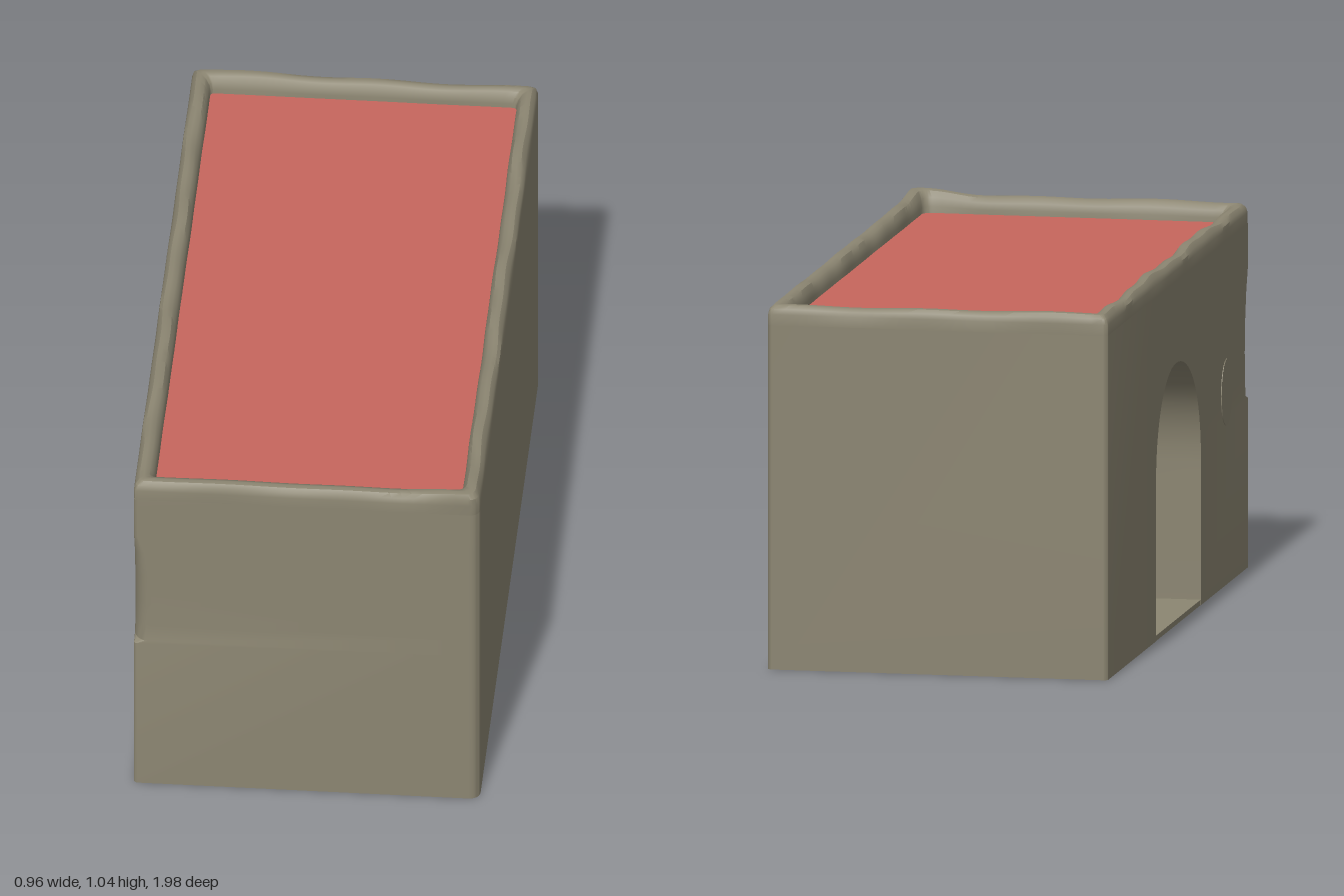
import * as THREE from 'three';
import { toCreasedNormals } from 'three/addons/utils/BufferGeometryUtils.js';

const X = 0.48, ZF = 0.985, ZB = 0.99, TOP = 0.965, DOOR0 = -0.35, DOOR1 = 0.36;

// Skin between closed rings of [x, y, z], optionally capped at both ends
function loft(rings, capped) {
  const n = rings[0].length, pos = rings.flat(2), idx = [];
  for (let i = 0; i < rings.length - 1; i++) {
    for (let j = 0; j < n; j++) {
      const a = i * n + j, b = i * n + (j + 1) % n;
      idx.push(a, b, b + n, a, b + n, a + n);
    }
  }
  if (capped) {
    const t = (rings.length - 1) * n;
    for (let j = 1; j < n - 1; j++) idx.push(0, j + 1, j, t, t + j, t + j + 1);
  }
  const g = new THREE.BufferGeometry();
  g.setAttribute('position', new THREE.Float32BufferAttribute(pos, 3));
  g.setIndex(idx);
  return toCreasedNormals(g, 0.6);
}

// Rounded plan corner; quarter 0 = back +x, 1 = back -x, 2 = front -x, 3 = front +x
function corner(quarter, rx, rz = rx) {
  const sx = quarter === 0 || quarter === 3 ? 1 : -1, front = quarter > 1;
  const cx = sx * (X - rx), cz = front ? ZF - rz : rz - ZB, pts = [];
  for (let k = 0; k <= 6; k++) {
    const a = (quarter + k / 6) * Math.PI / 2;
    pts.push([cx + rx * Math.cos(a), cz - rz * Math.sin(a)]);
  }
  return pts;
}

const lift = (pts, y) => pts.map(([x, z]) => [x, y, z]);

// Points along a straight side, ends excluded
function side(a, b, n) {
  return Array.from({ length: n - 1 }, (_, i) => {
    const t = (i + 1) / n;
    return [a[0] + (b[0] - a[0]) * t, a[1] + (b[1] - a[1]) * t];
  });
}

export function createModel() {
  const group = new THREE.Group();
  const stone = new THREE.MeshStandardMaterial({ color: 0x8c8672 });
  stone.name = 'olive stone';
  const red = new THREE.MeshStandardMaterial({ color: 0xc7665d });
  red.name = 'red roof';

  const add = (name, geometry, material = stone) => {
    const mesh = new THREE.Mesh(geometry, material);
    mesh.name = name;
    group.add(mesh);
    return mesh;
  };
  const box = (name, x0, x1, y0, y1, z0, z1, material) =>
    add(name, new THREE.BoxGeometry(x1 - x0, y1 - y0, z1 - z0), material)
      .position.set((x0 + x1) / 2, (y0 + y1) / 2, (z0 + z1) / 2);

  // Front end block with a chipped corner: [height, chip amount]
  const chip = [[0, 0], [0.475, 0], [0.485, 0.75], [0.54, 0.95], [0.61, 1], [0.7, 0.85], [0.78, 0.5], [0.84, 0], [TOP, 0]];
  add('frontBlock', loft(chip.map(([y, c]) => lift([
    [-X, DOOR1], ...corner(2, 0.01 + 0.04 * c, 0.01 + 0.05 * c), ...corner(3, 0.03), [X, DOOR1],
  ], y)), true));

  // Rear end block
  add('rearBlock', loft([0, TOP].map((y) => lift([
    [X, DOOR0], ...corner(0, 0.015), ...corner(1, 0.012), [-X, DOOR0],
  ], y)), true));

  // Middle block with an arched alcove open on the -x side
  const arch = new THREE.Shape();
  arch.moveTo(DOOR0, 0);
  arch.lineTo(-0.31, 0);
  arch.lineTo(-0.31, 0.44);
  arch.bezierCurveTo(-0.31, 0.62, -0.18, 0.735, -0.03, 0.735);
  arch.bezierCurveTo(0.13, 0.735, 0.32, 0.64, 0.32, 0.4);
  arch.lineTo(0.32, 0);
  arch.lineTo(DOOR1, 0);
  arch.lineTo(DOOR1, TOP);
  arch.lineTo(DOOR0, TOP);
  arch.closePath();
  const archGeometry = new THREE.ExtrudeGeometry(arch, { depth: X + 0.43, bevelEnabled: false, curveSegments: 14 });
  archGeometry.rotateY(-Math.PI / 2).translate(0.43, 0, 0);
  add('archedDoorway', toCreasedNormals(archGeometry, 0.5));
  box('alcoveBackWall', 0.43, X, 0, TOP, DOOR0, DOOR1);
  box('alcoveFloor', -X + 0.001, 0.43, 0, 0.015, -0.31, 0.32);

  // Shallow round mark beside the doorway
  const mark = add('roundMark', new THREE.CylinderGeometry(0.075, 0.075, 0.004, 24));
  mark.rotation.z = Math.PI / 2;
  mark.scale.x = 1.25;
  mark.position.set(-X, 0.54, 0.675);

  // Uneven rounded parapet around the roof
  const corners = [corner(2, 0.012), corner(3, 0.03), corner(0, 0.015), corner(1, 0.012)];
  const path = corners.flatMap((c, i) => [...c, ...side(c[6], corners[(i + 1) % 4][0], i % 2 ? 60 : 30)]);
  const profile = [[0, TOP, 0], [0, 0.995, 0.2], [0.004, 1.01, 0.7], [0.014, 1.02, 1], [0.026, 1.022, 1],
    [0.04, 1.017, 1], [0.05, 1.004, 0.7], [0.054, 0.985, 0.3], [0.055, 0.96, 0]];
  add('parapet', loft(profile.map(([inset, y, w]) => path.map(([x, z]) => {
    const wave = 0.003 * Math.sin(9 * z + 4 * x) + 0.002 * Math.sin(23 * z - 17 * x);
    const peak = Math.exp(-(((x - 0.44) / 0.12) ** 2) - ((z - 0.96) / 0.1) ** 2);
    const d = inset - w * (wave * 0.8 + 0.012 * peak * (z > 0 ? 1 : 0));
    const dx = inset + w * wave * 0.8;
    return [x * (X - dx) / X, y + w * (wave + 0.016 * peak), z * (ZB - d) / ZB];
  }))));

  // Flat recessed roof
  box('roof', -0.43, 0.43, TOP, 0.972, -0.94, 0.935, red);

  return group;
}
